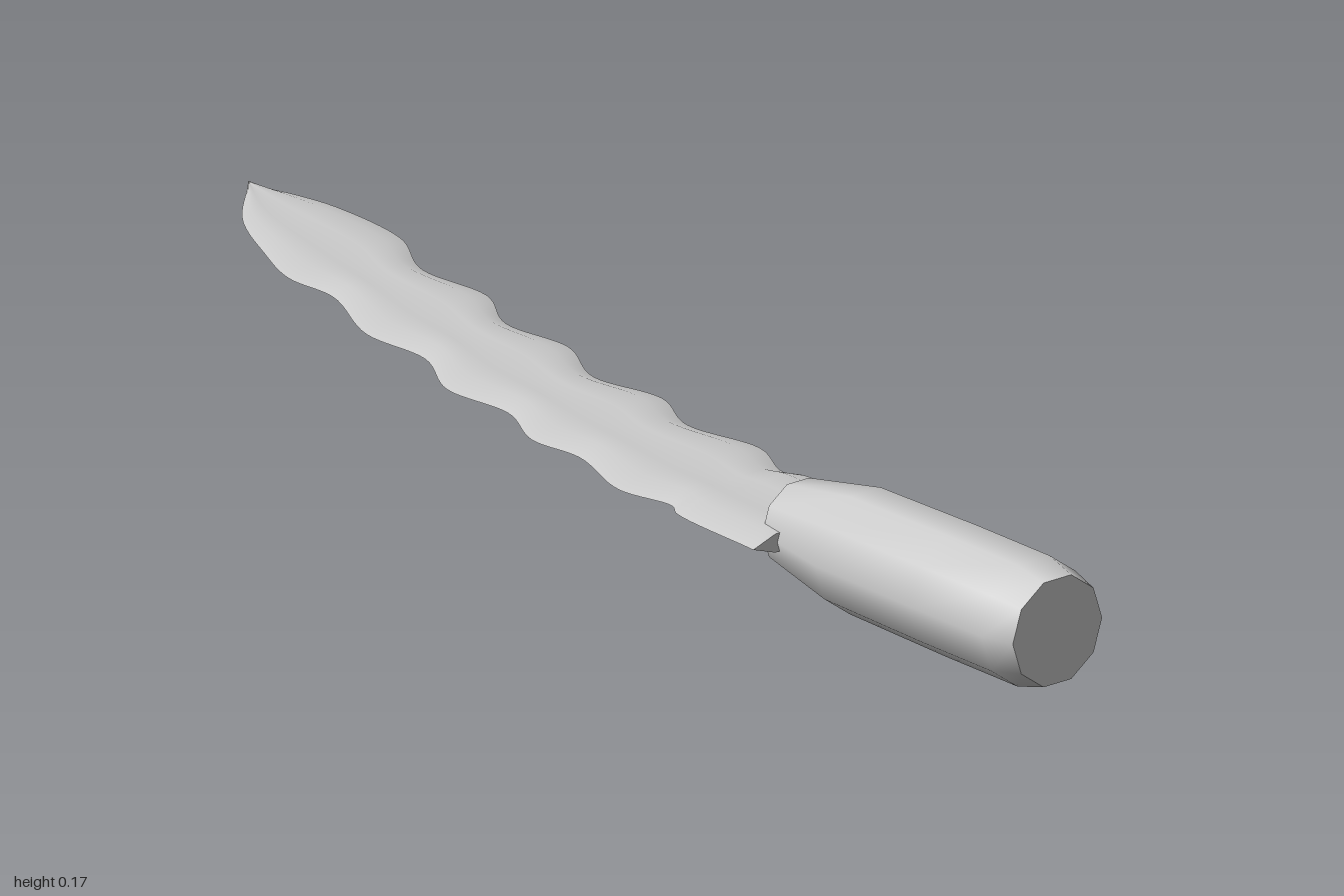
import * as THREE from 'three';
import { toCreasedNormals } from 'three/addons/utils/BufferGeometryUtils.js';

const MID_Y = 0.0885;

// Blade outline as [x, z], from the base to the tip
const LEFT_EDGE = [[-0.21, 0.5], [-0.2, 0.33], [-0.185, 0.3], [-0.2, 0.21], [-0.161, 0.08], [-0.167, -0.01],
  [-0.125, -0.11], [-0.13, -0.23], [-0.077, -0.34], [-0.077, -0.46], [-0.019, -0.6], [-0.019, -0.69],
  [0.02, -0.79], [0.077, -0.9], [0.172, -1]];
const RIGHT_EDGE = [[0.022, 0.5], [0.026, 0.33], [0.013, 0.3], [0.048, 0.21], [0.03, 0.08], [0.07, -0.02],
  [0.052, -0.14], [0.1, -0.25], [0.093, -0.37], [0.143, -0.47], [0.14, -0.6], [0.195, -0.71],
  [0.206, -0.85], [0.196, -0.92], [0.172, -1]];

// Cross-section as [fraction across, relative height]: thin edges, bevels and a shallow fuller
const SECTION = [[0, 0], [0.17, 1], [0.36, 0.95], [0.5, 0.75], [0.64, 0.95], [0.83, 1], [1, 0]];

const edgeCurve = (pts) => new THREE.CatmullRomCurve3(pts.map(([x, z]) => new THREE.Vector3(x, 0, z)));

function bladeRows(sign, rows) {
  const left = edgeCurve(LEFT_EDGE), right = edgeCurve(RIGHT_EDGE);
  const out = [];
  for (let i = 0; i <= rows; i++) {
    const a = left.getPoint(i / rows), b = right.getPoint(i / rows);
    const thick = 0.0135 - 0.004 * (i / rows) - 0.005 * THREE.MathUtils.smoothstep(i / rows, 0.8, 1);
    out.push(SECTION.map(([u, h]) => {
      const p = a.clone().lerp(b, u);
      p.y = MID_Y + sign * h * thick;
      return p;
    }));
  }
  return out;
}

// Skins a grid of points; flip reverses the facing
function skin(rows, flip) {
  const n = rows[0].length, index = [];
  for (let i = 0; i < rows.length - 1; i++) {
    for (let j = 0; j < n - 1; j++) {
      const a = i * n + j, b = a + 1, c = b + n, d = a + n;
      index.push(...(flip ? [a, c, b, a, d, c] : [a, b, c, a, c, d]));
    }
  }
  const geo = new THREE.BufferGeometry().setFromPoints(rows.flat());
  geo.setIndex(index);
  geo.computeVertexNormals();
  return geo;
}

export function createModel() {
  const model = new THREE.Group();
  model.name = 'wavyDagger';
  const grey = new THREE.MeshStandardMaterial({ color: 0xcccccc });
  grey.name = 'lightGrey';
  const add = (name, geo, parent) => {
    const mesh = new THREE.Mesh(geo, grey);
    mesh.name = name;
    parent.add(mesh);
    return mesh;
  };

  // Ten-sided handle, narrowing to the blade and bevelled at the butt
  const profile = [[0, 0.46], [0.063, 0.46], [0.089, 0.6], [0.092, 0.8], [0.092, 0.95], [0.079, 1], [0, 1]];
  const lathe = new THREE.LatheGeometry(profile.map(([r, z]) => new THREE.Vector2(r, z)), 10, Math.PI / 2);
  lathe.rotateX(Math.PI / 2);
  const handle = add('handle', toCreasedNormals(lathe, 0.8), model);
  handle.position.set(-0.097, MID_Y, 0);

  // Wavy blade: two smooth faces meeting at sharp edges, closed at the base
  const blade = new THREE.Group();
  blade.name = 'blade';
  model.add(blade);
  const top = bladeRows(1, 112), bottom = bladeRows(-1, 112);
  add('bladeTop', skin(top, false), blade);
  add('bladeBottom', skin(bottom, true), blade);
  add('bladeBase', skin([bottom[0], top[0]], false), blade);
  return model;
}
